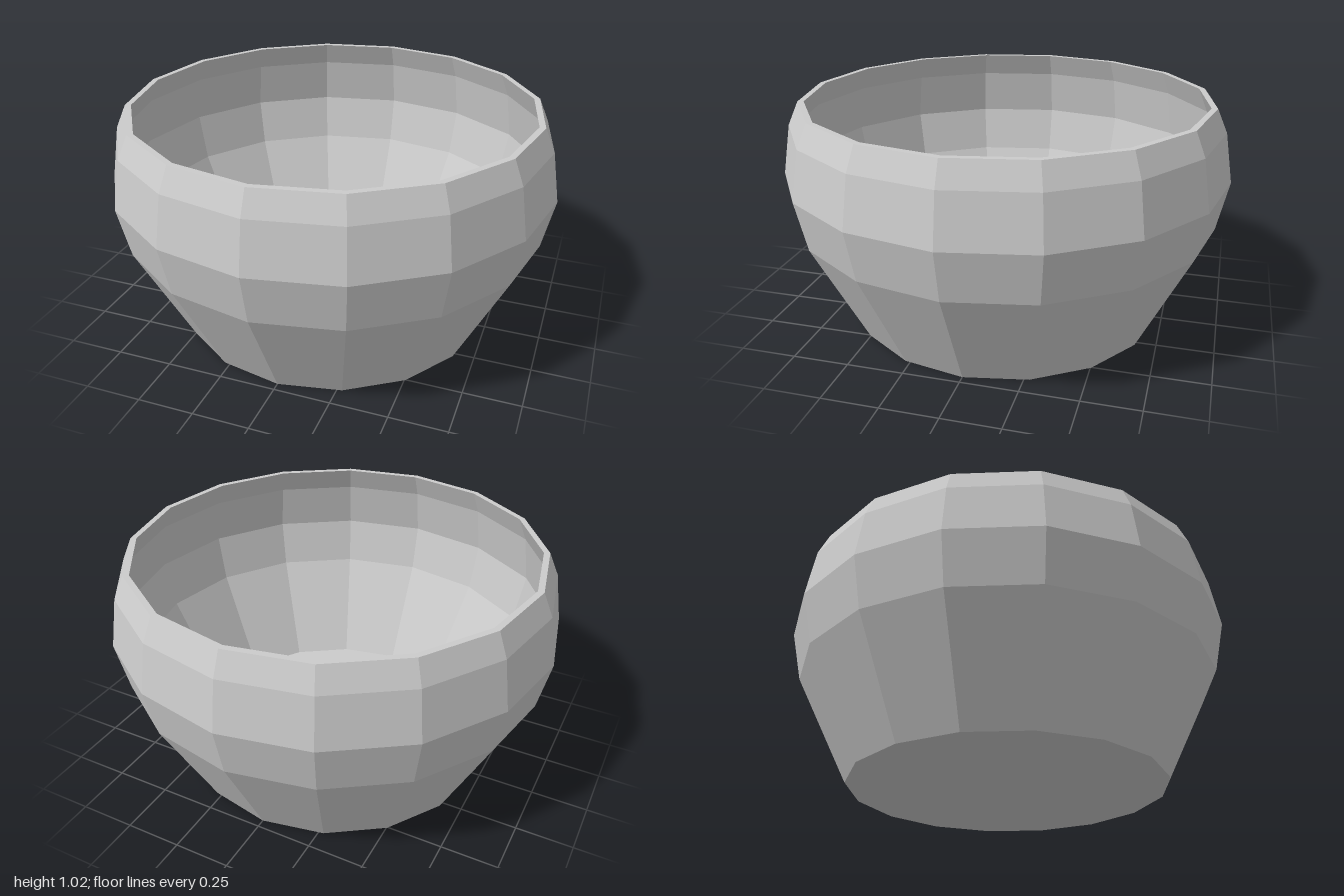
import * as THREE from 'three';

const SIDES = 16;

export function createModel() {
  const group = new THREE.Group();
  group.name = 'bowl';
  const material = new THREE.MeshStandardMaterial({ color: 0xcccccc, flatShading: true });

  const addLathe = (name, profile) => {
    const points = profile.map(([r, y]) => new THREE.Vector2(r, y));
    const mesh = new THREE.Mesh(new THREE.LatheGeometry(points, SIDES), material);
    mesh.name = name;
    group.add(mesh);
  };

  // Flat base and bulging outer wall, from the axis outward and up
  addLathe('outerWall', [[0, 0], [0.712, 0], [0.952, 0.477], [1, 0.7], [0.963, 0.92], [0.917, 1.023]]);

  // Narrow flat lip
  addLathe('rim', [[0.917, 1.023], [0.89, 1.023]]);

  // Inner wall following the outer one, down to the floor
  addLathe('innerWall', [[0.89, 1.023], [0.936, 0.914], [0.971, 0.7], [0.925, 0.485], [0.693, 0.027], [0, 0.027]]);

  return group;
}
